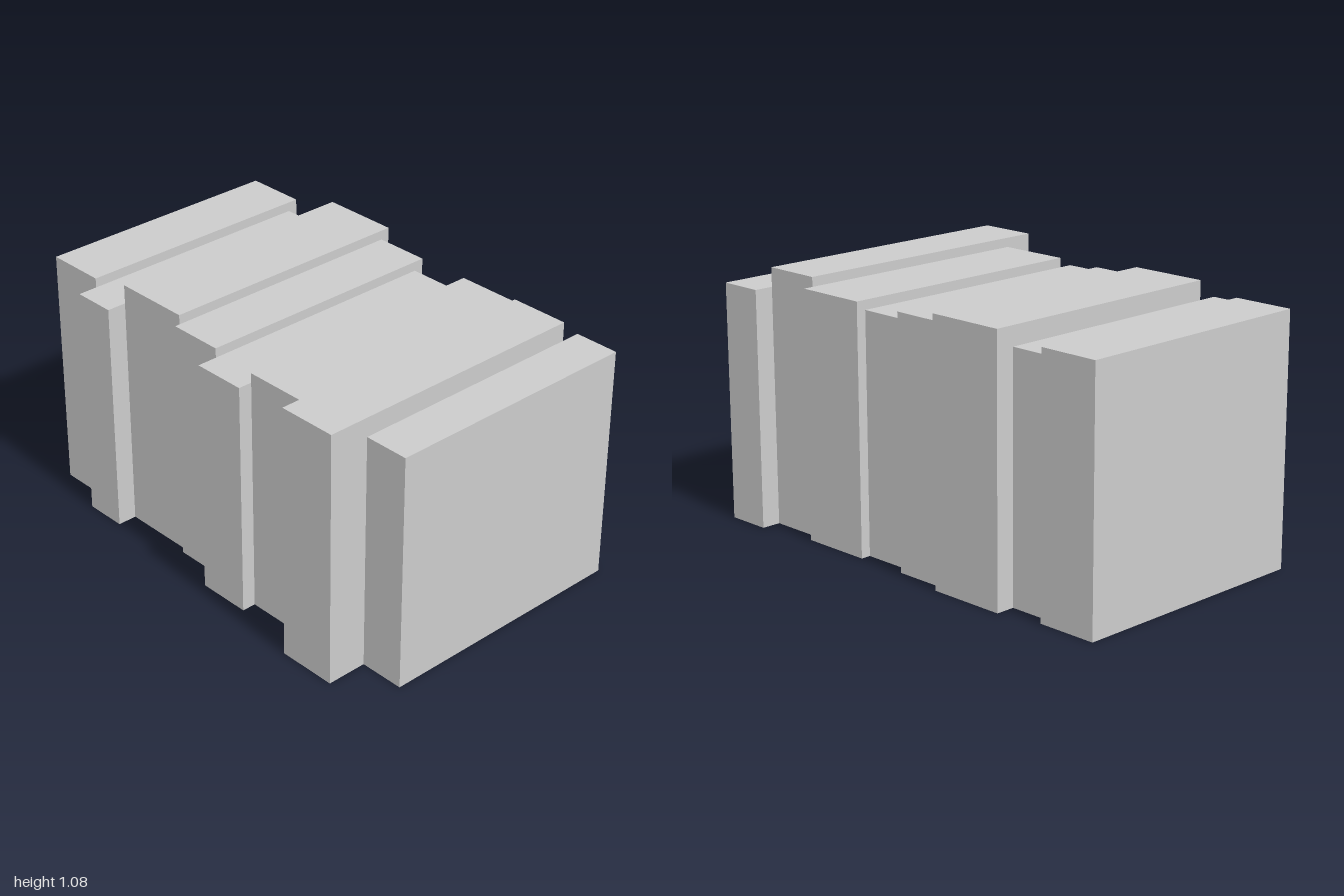
import * as THREE from 'three';

// Upright slabs from -x to +x: right edge, height, back z, front z
const START = -1;
const SLABS = [
  [-0.741, 1.04, -0.604, 0.471],
  [-0.558, 1.0, -0.562, 0.554],
  [-0.223, 1.08, -0.643, 0.471],
  [0.013, 1.04, -0.604, 0.492],
  [0.243, 1.0, -0.562, 0.577],
  [0.555, 1.04, -0.604, 0.518],
  [0.808, 1.08, -0.562, 0.645],
  [1.0, 1.0, -0.645, 0.471],
];

export function createModel() {
  const model = new THREE.Group();
  model.name = 'slabRow';
  const material = new THREE.MeshStandardMaterial({ color: 0xcccccc, flatShading: true });

  // Each slab starts where its neighbour ends and stands on the ground
  let left = START;
  SLABS.forEach(([right, height, back, front], i) => {
    const slab = new THREE.Mesh(new THREE.BoxGeometry(right - left, height, front - back), material);
    slab.position.set((left + right) / 2, height / 2, (back + front) / 2);
    slab.name = `slab${i + 1}`;
    model.add(slab);
    left = right;
  });
  return model;
}
